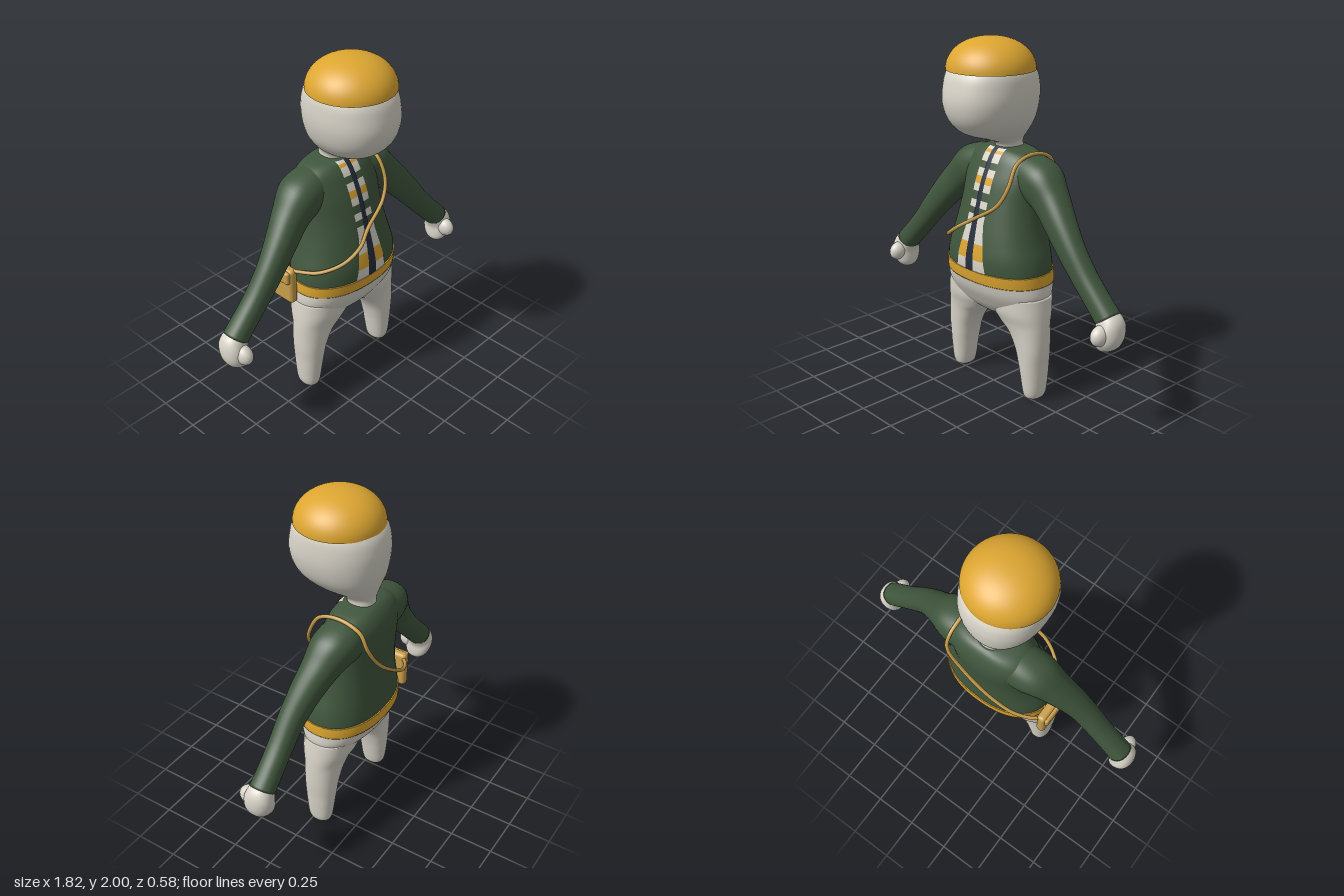
import * as THREE from 'three';
import { RoundedBoxGeometry } from 'three/addons/geometries/RoundedBoxGeometry.js';

const mat = (name, color, side = THREE.FrontSide) => {
  const m = new THREE.MeshStandardMaterial({ color, side });
  m.name = name;
  return m;
};

// Smoothly interpolate a list of number rows (Catmull-Rom per component)
function smooth(rows, steps = 6) {
  const out = [];
  for (let i = 0; i < rows.length - 1; i++) {
    const a = rows[Math.max(i - 1, 0)], b = rows[i], c = rows[i + 1], d = rows[Math.min(i + 2, rows.length - 1)];
    for (let s = 0; s < steps; s++) {
      const t = s / steps;
      out.push(b.map((_, k) => b[k] + 0.5 * t * (c[k] - a[k] + t * (2 * a[k] - 5 * b[k] + 4 * c[k] - d[k]
        + t * (3 * (b[k] - c[k]) + d[k] - a[k])))));
    }
  }
  out.push(rows[rows.length - 1]);
  return out;
}

const POWER = 2.25;
const soft = (v) => Math.sign(v) * Math.abs(v) ** (2 / POWER);

// Skin over rings [x, y, z, width radius, depth radius, tilt], ordered bottom to top
function loft(rows, sides = 48) {
  const rings = smooth(rows), pos = [], idx = [];
  for (const [x, y, z, rx, rz, tilt] of rings) {
    for (let j = 0; j < sides; j++) {
      const a = (j / sides) * Math.PI * 2, u = rx * soft(Math.cos(a));
      pos.push(x + u * Math.cos(tilt), y + u * Math.sin(tilt), z + rz * soft(Math.sin(a)));
    }
  }
  const at = (i, j) => i * sides + (j % sides);
  for (let i = 0; i < rings.length - 1; i++) {
    for (let j = 0; j < sides; j++) {
      idx.push(at(i, j), at(i + 1, j), at(i, j + 1), at(i, j + 1), at(i + 1, j), at(i + 1, j + 1));
    }
  }
  // end caps
  const last = rings.length - 1, low = pos.length / 3;
  pos.push(...rings[0].slice(0, 3), ...rings[last].slice(0, 3));
  for (let j = 0; j < sides; j++) {
    idx.push(low, at(0, j), at(0, j + 1), low + 1, at(last, j + 1), at(last, j));
  }
  return surface(pos, idx);
}

function surface(pos, idx) {
  const g = new THREE.BufferGeometry();
  g.setAttribute('position', new THREE.Float32BufferAttribute(pos, 3));
  g.setIndex(idx);
  g.computeVertexNormals();
  return g;
}

// Centred ring from [y, half width, front z, back z]
const ring = ([y, rx, front, back]) => [0, y, (front + back) / 2, rx, (front - back) / 2, 0];
const mirror = (rows, s) => rows.map(([x, y, z, rx, rz, t]) => [x * s, y, z, rx, rz, t * s]);

const TORSO = [
  [0.70, 0.335, 0.172, -0.272], [0.76, 0.333, 0.178, -0.272], [0.83, 0.32, 0.175, -0.268],
  [0.92, 0.293, 0.157, -0.264], [1.02, 0.27, 0.132, -0.264], [1.12, 0.258, 0.105, -0.27],
  [1.22, 0.26, 0.075, -0.275], [1.30, 0.26, 0.04, -0.268], [1.35, 0.235, 0.015, -0.25],
  [1.385, 0.17, -0.012, -0.225], [1.402, 0.075, -0.035, -0.2],
].map(ring);
const torsoRings = smooth(TORSO);

// Depth of the chest surface at a given point
function chestZ(x, y) {
  let i = 0;
  while (i < torsoRings.length - 2 && torsoRings[i + 1][1] < y) i++;
  const a = torsoRings[i], b = torsoRings[i + 1];
  const t = THREE.MathUtils.clamp((y - a[1]) / (b[1] - a[1]), 0, 1);
  const [, , z, rx, rz] = a.map((v, k) => v + (b[k] - v) * t);
  return z + rz * Math.max(0, 1 - Math.abs(x / rx) ** POWER) ** (1 / POWER);
}

// Thin strip lying on the chest between two heights
function chestStrip(y0, y1, halfWidth, lift) {
  const nx = 8, ny = Math.max(4, Math.ceil((y1 - y0) / 0.01)), pos = [], idx = [];
  for (let i = 0; i <= ny; i++) {
    const y = y0 + ((y1 - y0) * i) / ny, w = halfWidth(y);
    for (let j = 0; j <= nx; j++) {
      const x = w * ((2 * j) / nx - 1);
      pos.push(x, y, chestZ(x, y) + lift);
      if (i < ny && j < nx) {
        const a = i * (nx + 1) + j, b = a + nx + 1;
        idx.push(a, a + 1, b + 1, a, b + 1, b);
      }
    }
  }
  return surface(pos, idx);
}

export function createModel() {
  const model = new THREE.Group();
  const body = mat('pale body', 0xd8d4c9);
  const green = mat('jacket green', 0x40563d);
  const yellow = mat('golden yellow', 0xdda631);
  const capYellow = yellow;
  capYellow.side = THREE.DoubleSide;
  const navy = mat('navy', 0x252d3c, THREE.DoubleSide);
  const tan = mat('bag tan', 0xc99f4c);
  const add = (name, geometry, material, parent = model) => {
    const m = new THREE.Mesh(geometry, material);
    m.name = name;
    parent.add(m);
    return m;
  };

  // Head and neck
  add('head', loft([
    [1.36, 0.075, -0.04, -0.2], [1.42, 0.07, -0.03, -0.192], [1.455, 0.095, 0.06, -0.2],
    [1.50, 0.15, 0.185, -0.213], [1.57, 0.2, 0.255, -0.235], [1.66, 0.226, 0.284, -0.248],
    [1.75, 0.229, 0.277, -0.247], [1.83, 0.214, 0.248, -0.22], [1.90, 0.16, 0.17, -0.14],
    [1.95, 0.03, 0.05, -0.02],
  ].map(ring)), body);

  // Domed cap, open underneath
  const dome = [];
  for (let i = 0; i <= 20; i++) {
    const a = (i / 20) * Math.PI / 2;
    dome.push(new THREE.Vector2(0.24 * Math.cos(a) ** 0.92, 0.17 * Math.sin(a)));
  }
  dome[20].x = 0;
  const cap = add('cap', new THREE.LatheGeometry(dome, 48), capYellow);
  cap.position.set(0, 1.83, 0.02);

  // Jacket, belt and hips
  add('jacketBody', loft(TORSO, 64), green);
  add('belt', loft([
    [0.677, 0.343, 0.176, -0.277], [0.71, 0.342, 0.18, -0.279], [0.744, 0.339, 0.183, -0.278],
  ].map(ring), 64), yellow);
  add('hips', loft([
    [0.445, 0.03, -0.02, -0.06], [0.465, 0.15, 0.04, -0.12], [0.51, 0.27, 0.09, -0.17],
    [0.56, 0.33, 0.123, -0.21], [0.62, 0.347, 0.155, -0.252], [0.685, 0.34, 0.174, -0.274],
  ].map(ring), 64), body);

  // Striped shirt front with a dark centre line
  const panel = (y) => 0.064 + 0.051 * THREE.MathUtils.clamp((1.0 - y) / 0.26, 0, 1);
  const line = (y) => 0.016 + 0.014 * THREE.MathUtils.clamp((1.1 - y) / 0.36, 0, 1);
  const stripes = [
    [0.744, 0.808, body], [0.808, 0.897, yellow], [0.897, 1.05, body], [1.085, 1.125, body],
    [1.17, 1.21, body], [1.21, 1.25, yellow], [1.25, 1.29, body], [1.325, 1.37, body],
    [1.37, 1.385, yellow], [1.385, 1.397, body],
  ];
  for (const [y0, y1, m] of stripes) add('shirtStripe', chestStrip(y0, y1, panel, 0.004), m);
  add('shirtCentreLine', chestStrip(0.744, 1.4, line, 0.007), navy);

  // Legs, sleeves and hands
  for (const s of [1, -1]) {
    const side = s > 0 ? 'left' : 'right';
    add(side + 'Leg', loft(mirror([
      [0.295, 0.0, -0.038, 0.025, 0.03, 0], [0.295, 0.012, -0.038, 0.046, 0.058, 0],
      [0.296, 0.05, -0.038, 0.058, 0.071, 0], [0.293, 0.13, -0.038, 0.068, 0.08, 0],
      [0.288, 0.21, -0.038, 0.077, 0.088, 0], [0.278, 0.3, -0.038, 0.093, 0.095, 0],
      [0.25, 0.39, -0.038, 0.121, 0.103, 0], [0.212, 0.45, -0.038, 0.157, 0.115, 0],
      [0.185, 0.52, -0.043, 0.178, 0.14, 0], [0.18, 0.61, -0.05, 0.17, 0.15, 0],
    ], s)), body);
    add(side + 'Sleeve', loft(mirror([
      [0.817, 0.655, -0.035, 0.067, 0.068, 0.69], [0.74, 0.733, -0.036, 0.066, 0.066, 0.72],
      [0.65, 0.827, -0.037, 0.068, 0.066, 0.74], [0.55, 0.943, -0.042, 0.077, 0.07, 0.73],
      [0.45, 1.058, -0.062, 0.088, 0.083, 0.72], [0.35, 1.162, -0.09, 0.102, 0.1, 0.75],
      [0.25, 1.24, -0.11, 0.125, 0.125, 0.92], [0.13, 1.27, -0.12, 0.118, 0.12, 1.3],
    ], s)), green);
    add(side + 'Hand', loft(mirror([
      [0.842, 0.492, -0.02, 0.012, 0.02, 0.3], [0.84, 0.503, -0.022, 0.05, 0.05, 0.3],
      [0.841, 0.54, -0.025, 0.073, 0.075, 0.4], [0.839, 0.59, -0.03, 0.079, 0.083, 0.55],
      [0.83, 0.63, -0.033, 0.073, 0.075, 0.65], [0.805, 0.665, -0.035, 0.063, 0.064, 0.69],
    ], s)), body);
    const thumb = add(side + 'Thumb', new THREE.SphereGeometry(1, 24, 16), body);
    thumb.scale.set(0.045, 0.055, 0.062);
    thumb.position.set(0.83 * s, 0.59, 0.038);
    thumb.rotation.x = 0.35;
  }

  // Shoulder strap, one closed loop through the bag
  const path = new THREE.CatmullRomCurve3([
    [0.2, 1.385, -0.1], [0.2, 1.35, 0.02], [0.2, 1.23, 0.085], [0.15, 1.13, 0.115],
    [0, 1.03, 0.147], [-0.1, 0.965, 0.18], [-0.2, 0.9, 0.155], [-0.3, 0.85, 0.07],
    [-0.35, 0.832, -0.03], [-0.372, 0.82, -0.12], [-0.36, 0.81, -0.18], [-0.25, 0.845, -0.25],
    [-0.1, 0.935, -0.28], [0.1, 1.11, -0.282], [0.19, 1.25, -0.272], [0.2, 1.345, -0.23],
  ].map((p) => new THREE.Vector3(...p)), true);
  add('strap', new THREE.TubeGeometry(path, 160, 0.011, 8, true), tan);

  // Hip bag with flap
  const bag = new THREE.Group();
  bag.name = 'bag';
  bag.position.set(-0.372, 0.73, -0.125);
  add('bagBody', new RoundedBoxGeometry(0.055, 0.22, 0.15, 4, 0.022), tan, bag);
  add('bagFlap', new RoundedBoxGeometry(0.03, 0.075, 0.13, 3, 0.012), tan, bag).position.set(-0.03, 0.062, 0);
  model.add(bag);
  return model;
}
